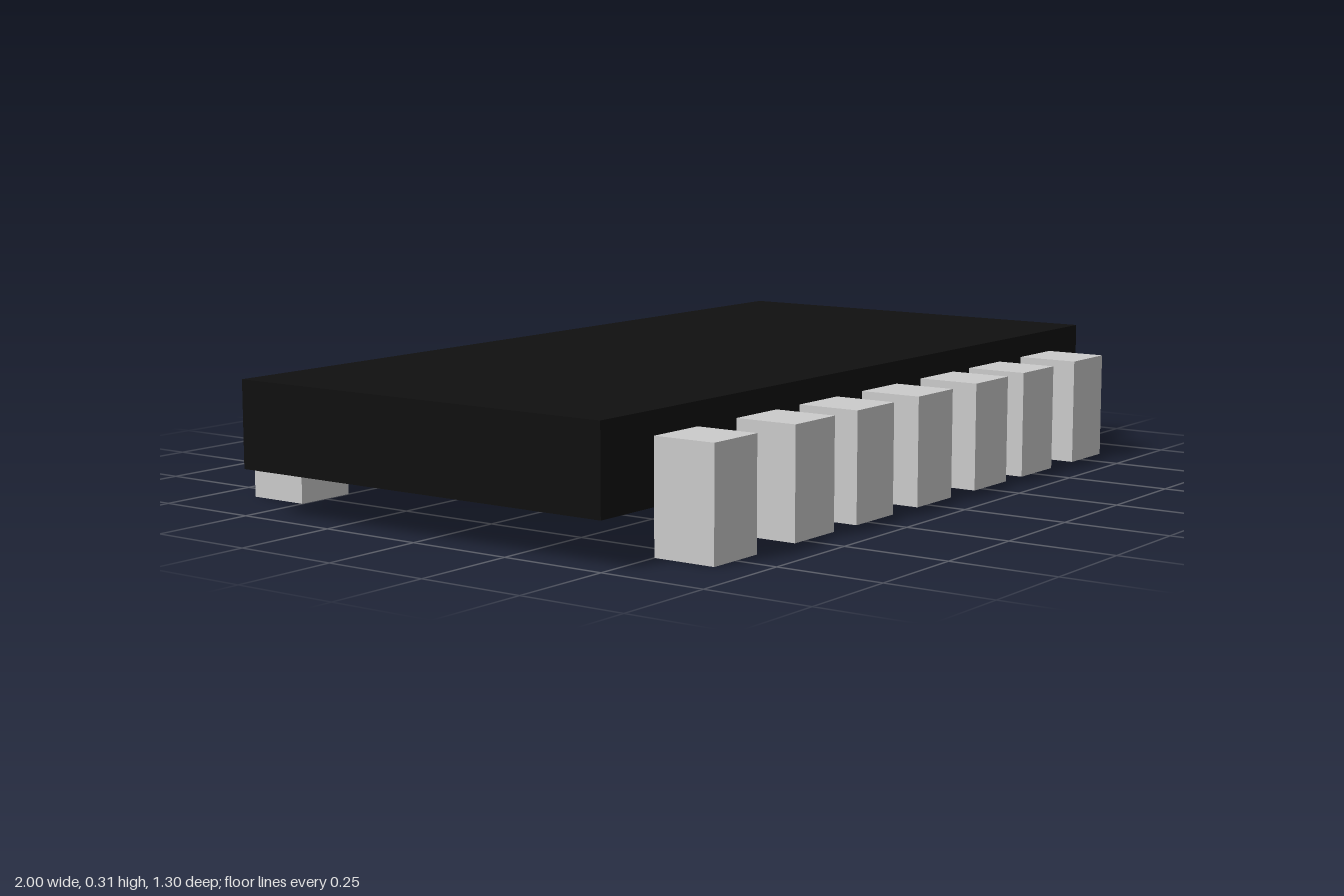
import * as THREE from 'three';

export function createModel() {
  const group = new THREE.Group();
  const black = new THREE.MeshStandardMaterial({ color: 0x101010 });
  const grey = new THREE.MeshStandardMaterial({ color: 0xcccccc });

  // flat chip body
  const body = new THREE.Mesh(new THREE.BoxGeometry(2, 0.2, 1), black);
  body.name = 'chipBody';
  body.position.y = 0.205;
  group.add(body);

  // a row of unevenly spaced pins along each long side
  const pinXs = [-0.75, -0.46, -0.22, 0.035, 0.293, 0.52, 0.779];
  const pinGeometry = new THREE.BoxGeometry(0.15, 0.252, 0.15);
  for (const side of [1, -1]) {
    const row = new THREE.Group();
    row.name = side > 0 ? 'frontPins' : 'backPins';
    pinXs.forEach((x, i) => {
      const pin = new THREE.Mesh(pinGeometry, grey);
      pin.name = `pin${i + 1}`;
      pin.position.set(x, 0.126, side * 0.575);
      row.add(pin);
    });
    group.add(row);
  }
  return group;
}
